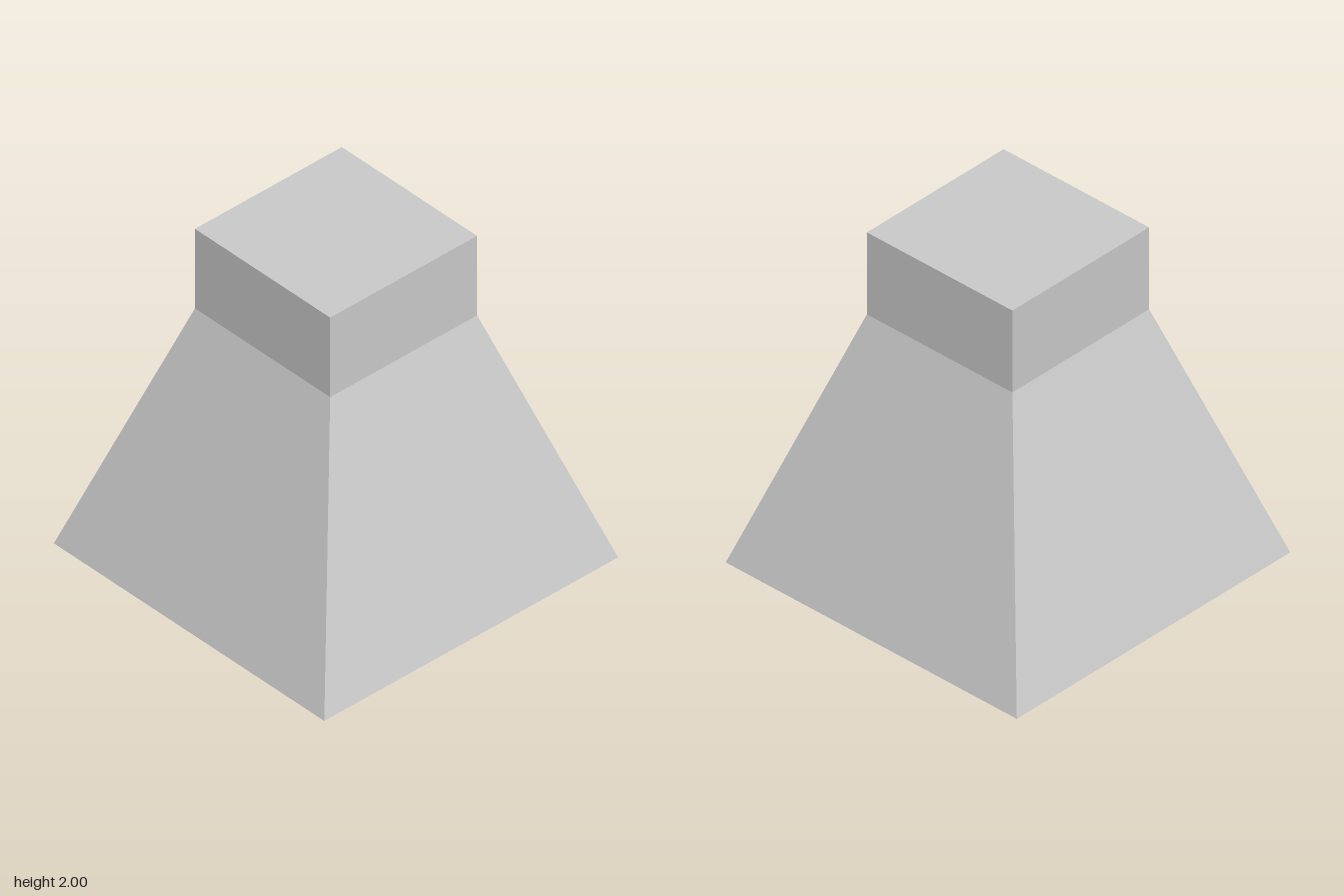
import * as THREE from 'three';

// Square solid: wide base tapering up to a straight-sided neck
function taperedBody() {
  const box = new THREE.BoxGeometry(2, 2, 2, 1, 2, 1);
  const pos = box.attributes.position;
  for (let i = 0; i < pos.count; i++) {
    const y = pos.getY(i);
    const isBase = y < -0.5;
    const scale = isBase ? 1 : 0.5;
    const height = isBase ? 0 : y > 0.5 ? 2 : 1.5; // base, shoulder, top
    pos.setXYZ(i, pos.getX(i) * scale, height, pos.getZ(i) * scale);
  }
  const geometry = box.toNonIndexed();
  geometry.computeVertexNormals();
  return geometry;
}

export function createModel() {
  const group = new THREE.Group();
  group.name = 'taperedPedestal';

  // Base, slopes, neck and flat top as one closed surface
  const material = new THREE.MeshStandardMaterial({ color: 0xcccccc, flatShading: true });
  const body = new THREE.Mesh(taperedBody(), material);
  body.name = 'pedestalBody';
  group.add(body);

  return group;
}
